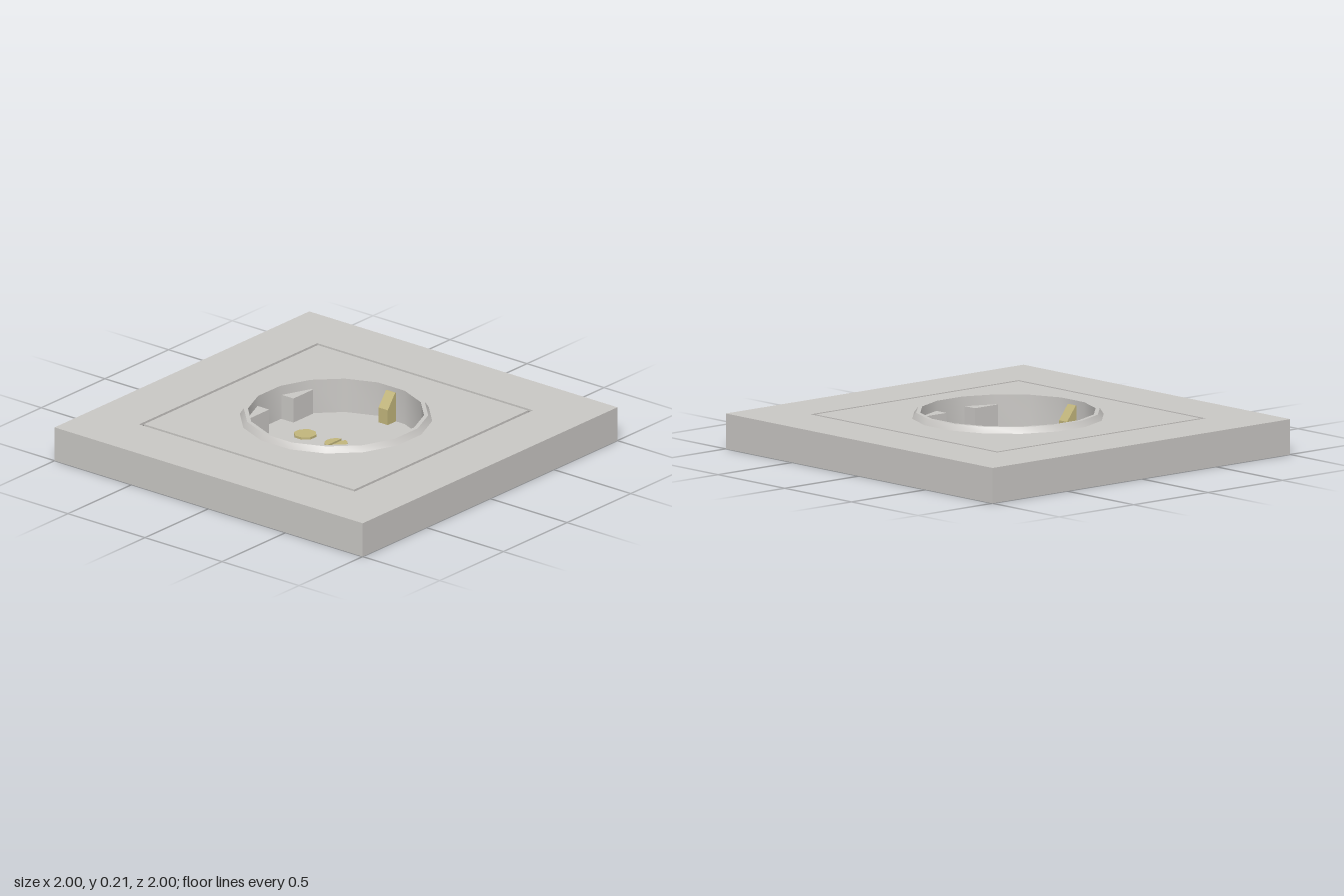
import * as THREE from 'three';
import { toCreasedNormals } from 'three/addons/utils/BufferGeometryUtils.js';

const TOP = 0.18, FLOOR = 0.03;

export function createModel() {
  const group = new THREE.Group();
  const plastic = new THREE.MeshStandardMaterial({ name: 'greyPlastic', color: 0xcac8c5 });
  const brass = new THREE.MeshStandardMaterial({ name: 'brass', color: 0xc2b67c });
  const shade = new THREE.MeshStandardMaterial({ name: 'grooveGrey', color: 0x6a6967 });

  const add = (name, geometry, material, x = 0, y = 0, z = 0) => {
    const mesh = new THREE.Mesh(geometry, material);
    mesh.name = name;
    mesh.position.set(x, y, z);
    group.add(mesh);
    return mesh;
  };
  const square = (h) => [[-h, -h], [h, -h], [h, h], [-h, h]].map((p) => new THREE.Vector2(...p));
  const polygon = (r, n) => Array.from({ length: n }, (_, i) => {
    const a = (i + 0.5) * Math.PI * 2 / n;
    return new THREE.Vector2(r * Math.cos(a), r * Math.sin(a));
  });
  // Horizontal plate with a hole, from y0 up to y1
  const plate = (outer, hole, y0, y1) => {
    const shape = new THREE.Shape(outer);
    shape.holes.push(new THREE.Path(hole));
    return new THREE.ExtrudeGeometry(shape, { depth: y1 - y0, bevelEnabled: false })
      .rotateX(-Math.PI / 2).translate(0, y0, 0);
  };

  // Outer frame, socket floor, groove and inner panel
  add('outerFrame', plate(square(1), square(0.7), 0, TOP), plastic);
  add('socketFloor', new THREE.BoxGeometry(1.4, FLOOR, 1.4), plastic, 0, FLOOR / 2, 0);
  add('groove', plate(square(0.7), square(0.68), 0.158, 0.166), shade);
  add('innerPanel', plate(square(0.682), polygon(0.46, 16), FLOOR, TOP), plastic);

  // Sixteen-sided raised rim with the wall of the well
  const profile = [[0.484, TOP], [0.464, 0.21], [0.443, 0.21], [0.443, FLOOR]]
    .map((p) => new THREE.Vector2(...p));
  const rim = new THREE.LatheGeometry(profile, 16, Math.PI / 16);
  add('rim', toCreasedNormals(rim, 0.5), plastic);

  // Guide blocks on both sides of the well
  for (const sx of [-1, 1]) for (const sz of [-1, 1]) {
    add('guideBlock', new THREE.BoxGeometry(0.09, 0.13, 0.155), plastic,
      sx * 0.4, FLOOR + 0.065, sz * 0.1725);
  }

  // Round pin contacts
  for (const sx of [-1, 1]) {
    const pin = new THREE.CylinderGeometry(0.059, 0.059, 0.012, 8).rotateY(Math.PI / 8);
    add('pinContact', toCreasedNormals(pin, 0.5), brass, sx * 0.2, FLOOR + 0.006, 0);
  }

  // Slotted screw: a low disc with two half heads
  add('screwBase', new THREE.CylinderGeometry(0.06, 0.06, 0.004, 16), brass, 0, FLOOR + 0.002, 0);
  for (const side of [0, Math.PI]) {
    const half = new THREE.Shape();
    const a = Math.acos(0.012 / 0.058);
    half.absarc(0, 0, 0.058, -a, a, false);
    half.closePath();
    const geometry = new THREE.ExtrudeGeometry(half, { depth: 0.012, bevelEnabled: false, curveSegments: 8 })
      .rotateX(-Math.PI / 2);
    add('screwHead', geometry, brass, 0, FLOOR + 0.002, 0).rotation.y = side;
  }

  // Earth clips with a slope facing the middle
  for (const turn of [0, Math.PI]) {
    const side = new THREE.Shape([[0.37, FLOOR], [0.435, FLOOR], [0.435, 0.185], [0.428, 0.185], [0.37, 0.11]]
      .map((p) => new THREE.Vector2(...p)));
    const clip = new THREE.ExtrudeGeometry(side, { depth: 0.06, bevelEnabled: false })
      .translate(0, 0, -0.03).rotateY(-Math.PI / 2);
    add('earthClip', clip, brass).rotation.y = turn;
  }
  return group;
}
